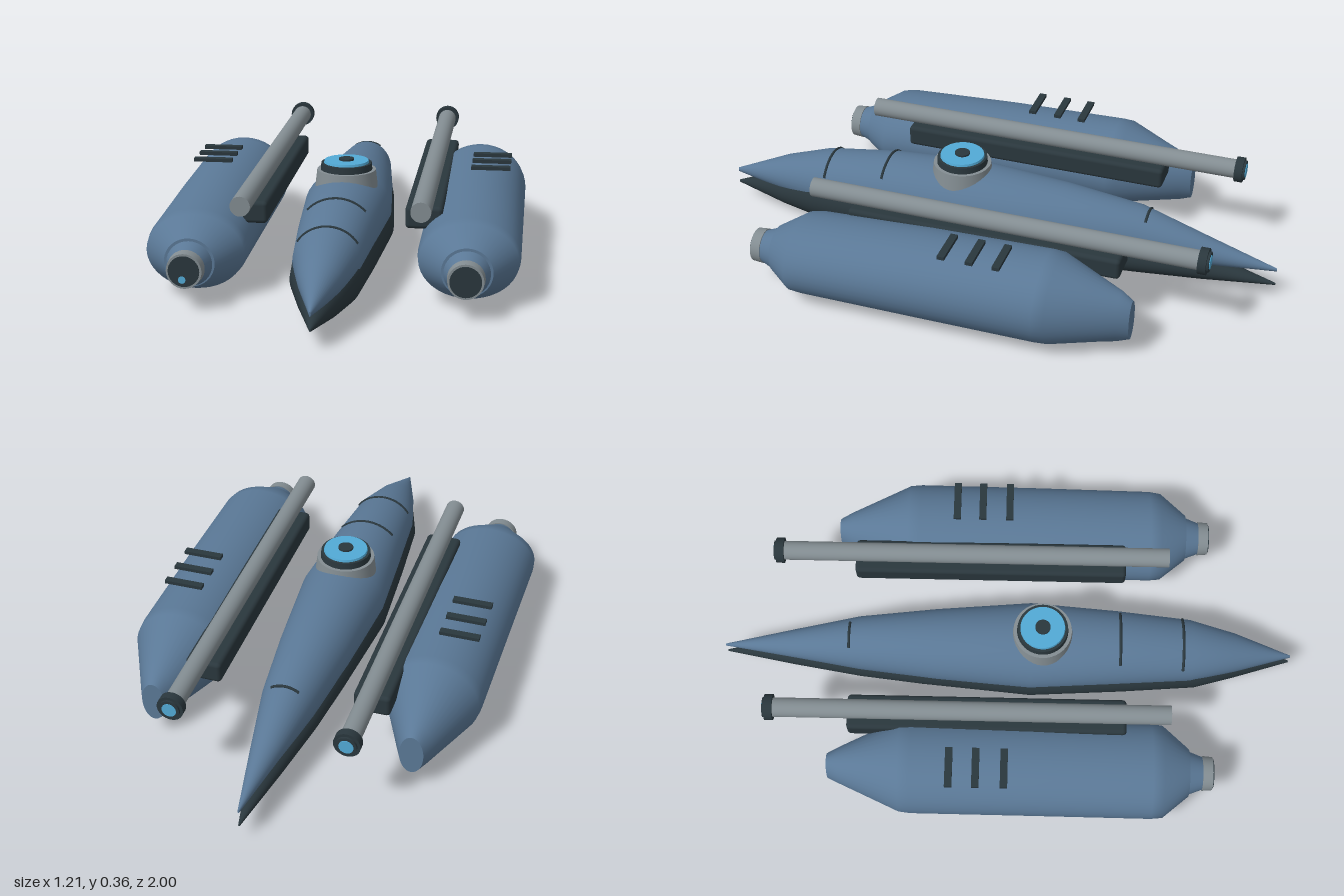
import * as THREE from 'three';
import { RoundedBoxGeometry } from 'three/addons/geometries/RoundedBoxGeometry.js';

const material = (name, color) => {
  const m = new THREE.MeshStandardMaterial({ color });
  m.name = name;
  return m;
};

// Lofts ellipses along z; each station is [z, centreY, radiusX, radiusY], z rising
function loft(stations, n = 40) {
  const pos = [], index = [];
  const ring = ([z, cy, rx, ry]) => {
    for (let j = 0; j < n; j++) {
      const a = (j / n) * Math.PI * 2;
      pos.push(rx * Math.cos(a), cy + ry * Math.sin(a), z);
    }
  };
  stations.forEach(ring);
  for (let i = 0; i < stations.length - 1; i++) {
    for (let j = 0; j < n; j++) {
      const a = i * n + j, b = i * n + (j + 1) % n, c = a + n, d = b + n;
      index.push(a, b, c, b, d, c);
    }
  }
  // Flat end caps with their own vertices
  [stations[0], stations[stations.length - 1]].forEach((s, end) => {
    const start = pos.length / 3;
    ring(s);
    pos.push(0, s[1], s[0]);
    for (let j = 0; j < n; j++) {
      const a = start + j, b = start + (j + 1) % n;
      index.push(start + n, end ? a : b, end ? b : a);
    }
  });
  const g = new THREE.BufferGeometry();
  g.setAttribute('position', new THREE.Float32BufferAttribute(pos, 3));
  g.setIndex(index);
  g.computeVertexNormals();
  return g;
}

// Cylinder lying along z: front radius, back radius, length
const rod = (front, back, length) =>
  new THREE.CylinderGeometry(front, back, length, 32).rotateX(Math.PI / 2);

export function createModel() {
  const blue = material('hull blue', 0x5a7896);
  const dark = material('dark slate', 0x2a373d);
  const grey = material('metal grey', 0x838d92);
  const cyan = material('glow cyan', 0x52aad6);

  const model = new THREE.Group();
  model.name = 'catamaranCraft';
  const add = (parent, name, geometry, mat, x = 0, y = 0, z = 0) => {
    const mesh = new THREE.Mesh(geometry, mat);
    mesh.name = name;
    mesh.position.set(x, y, z);
    parent.add(mesh);
    return mesh;
  };

  // Central hull: two pointed shells whose tips part slightly
  const upper = [
    [-1, 0.122, 0.003, 0.006], [-0.75, 0.15, 0.05, 0.05], [-0.52, 0.17, 0.092, 0.1],
    [-0.25, 0.172, 0.123, 0.126], [0.08, 0.175, 0.151, 0.142], [0.38, 0.17, 0.13, 0.13],
    [0.64, 0.16, 0.108, 0.104], [0.8, 0.148, 0.068, 0.066], [1, 0.118, 0.003, 0.008],
  ];
  const lower = [
    [-1, 0.064, 0.003, 0.004], [-0.75, 0.086, 0.055, 0.045], [-0.52, 0.1, 0.097, 0.068],
    [-0.3, 0.113, 0.125, 0.092], [0.08, 0.12, 0.16, 0.116], [0.4, 0.115, 0.138, 0.112],
    [0.66, 0.106, 0.114, 0.098], [0.8, 0.088, 0.07, 0.064], [1, 0.068, 0.003, 0.005],
  ];
  add(model, 'upperHull', loft(upper), blue);
  add(model, 'lowerHull', loft(lower), dark);

  // Seam bands arched over the upper hull
  for (const [z, halfWidth] of [[0.61, 0.095], [0.39, 0.095], [-0.55, 0.047]]) {
    const i = upper.findIndex((s) => s[0] > z);
    const t = (z - upper[i - 1][0]) / (upper[i][0] - upper[i - 1][0]);
    const [, cy, rx, ry] = upper[i].map((v, k) => THREE.MathUtils.lerp(upper[i - 1][k], v, t));
    const reach = Math.asin(halfWidth / rx);
    const points = [];
    for (let k = 0; k <= 12; k++) {
      const a = (k / 6 - 1) * reach;
      points.push(new THREE.Vector3(rx * Math.sin(a), cy + ry * Math.cos(a), z));
    }
    add(model, 'seamBand', new THREE.TubeGeometry(new THREE.CatmullRomCurve3(points), 24, 0.005, 8), dark);
  }

  // Sensor turret on the deck
  const turret = new THREE.Group();
  turret.name = 'turret';
  turret.position.z = 0.12;
  model.add(turret);
  const disc = (name, top, bottom, y0, y1, mat) =>
    add(turret, name, new THREE.CylinderGeometry(top, bottom, y1 - y0, 40), mat, 0, (y0 + y1) / 2);
  disc('turretBase', 0.1, 0.107, 0.27, 0.33, grey);
  disc('turretRing', 0.086, 0.088, 0.33, 0.353, dark);
  disc('turretLens', 0.075, 0.077, 0.353, 0.361, cyan);
  disc('turretHub', 0.026, 0.026, 0.361, 0.367, dark);

  // Side pods, each with a nose sensor, vents and a long barrel
  const pod = loft([
    [-0.61, 0.135, 0.04, 0.072], [-0.57, 0.142, 0.06, 0.092], [-0.36, 0.164, 0.16, 0.148],
    [-0.32, 0.164, 0.165, 0.149], [0.1, 0.16, 0.165, 0.143], [0.5, 0.152, 0.165, 0.13],
    [0.54, 0.149, 0.16, 0.124], [0.63, 0.14, 0.082, 0.08],
  ]);
  for (const side of [-1, 1]) {
    const assembly = new THREE.Group();
    assembly.name = side > 0 ? 'leftPod' : 'rightPod';
    model.add(assembly);
    const px = side * 0.44;
    add(assembly, 'podBody', pod, blue, px);
    add(assembly, 'noseCollar', rod(0.055, 0.078, 0.06), blue, px, 0.137, 0.65);
    add(assembly, 'noseRing', rod(0.057, 0.06, 0.035), grey, px, 0.137, 0.694);
    add(assembly, 'noseLens', rod(0.05, 0.05, 0.008), dark, px, 0.137, 0.711);
    if (side < 0) add(assembly, 'noseLight', rod(0.012, 0.012, 0.004), cyan, px - 0.006, 0.11, 0.714);

    for (const z of [-0.187, -0.097, -0.002]) {
      add(assembly, 'vent', new THREE.BoxGeometry(0.135, 0.012, 0.025), dark, side * 0.487, 0.316, z);
    }

    const bx = side * 0.288;
    add(assembly, 'barrelMount', new RoundedBoxGeometry(0.122, 0.075, 0.95, 3, 0.014), dark, side * 0.287, 0.247, -0.065);
    add(assembly, 'barrel', rod(0.033, 0.033, 1.35), grey, bx, 0.309, -0.117);
    add(assembly, 'barrelCap', rod(0.044, 0.044, 0.028), dark, bx, 0.309, -0.8);
    add(assembly, 'barrelRim', rod(0.034, 0.034, 0.008), dark, bx, 0.309, -0.817);
    add(assembly, 'barrelLens', rod(0.024, 0.024, 0.006), cyan, bx, 0.309, -0.82);
  }
  return model;
}
